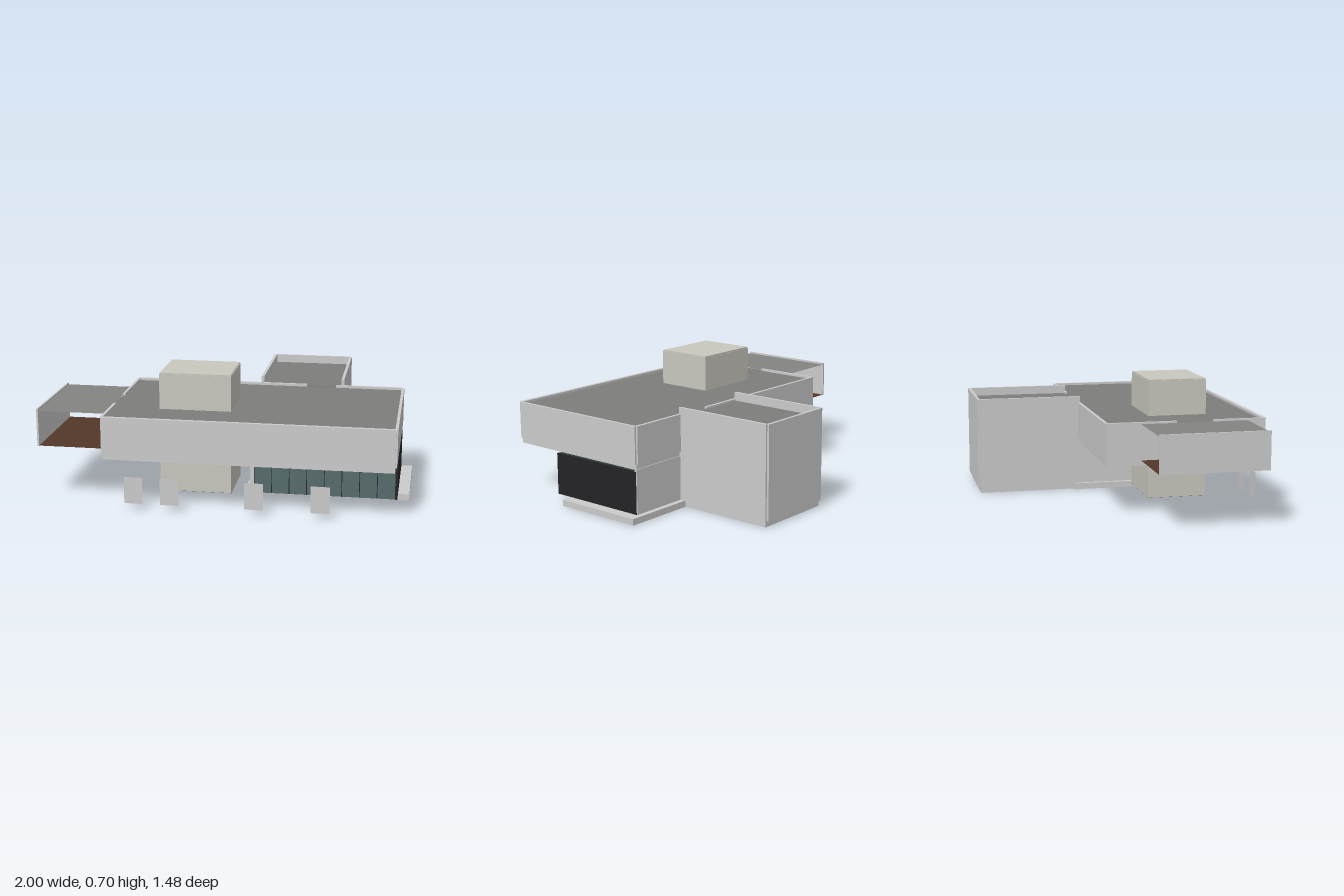
import * as THREE from 'three';

const mat = (color, side = THREE.FrontSide) => new THREE.MeshStandardMaterial({ color, side, flatShading: true });
const grey = mat(0xcccccc);
const roofGrey = mat(0x7d7d7c);
const stone = mat(0xc9c8be);
const black = mat(0x242427);
const glass = mat(0x566b6c);
const thinGrey = mat(0xcccccc, THREE.DoubleSide);

export function createModel() {
  const model = new THREE.Group();

  const add = (name, geometry, material) => {
    const mesh = new THREE.Mesh(geometry, material);
    mesh.name = name;
    model.add(mesh);
    return mesh;
  };
  // Box given by its limits on each axis
  const box = (name, [x0, x1], [y0, y1], [z0, z1], material = grey) => {
    const mesh = add(name, new THREE.BoxGeometry(x1 - x0, y1 - y0, z1 - z0), material);
    mesh.position.set((x0 + x1) / 2, (y0 + y1) / 2, (z0 + z1) / 2);
    return mesh;
  };
  // Flat horizontal sheet seen from both sides
  const sheet = (name, [x0, x1], y, [z0, z1], color) => {
    const mesh = add(name, new THREE.PlaneGeometry(x1 - x0, z1 - z0), mat(color, THREE.DoubleSide));
    mesh.rotation.x = -Math.PI / 2;
    mesh.position.set((x0 + x1) / 2, y, (z0 + z1) / 2);
    return mesh;
  };
  // Vertical prism from a floor plan of [x, z] points
  const prism = (name, plan, [y0, y1], material = grey) => {
    const shape = new THREE.Shape(plan.map(([x, z]) => new THREE.Vector2(x, -z)));
    const geometry = new THREE.ExtrudeGeometry(shape, { depth: y1 - y0, bevelEnabled: false });
    geometry.rotateX(-Math.PI / 2).translate(0, y0, 0);
    return add(name, geometry, material);
  };
  // Rectangle plan with small stepped corners
  const notched = ([x0, x1], [z0, z1], c = 0.01) => [
    [x0, z0 + c], [x0, z1 - c], [x0 + c, z1 - c], [x0 + c, z1],
    [x1 - c, z1], [x1 - c, z1 - c], [x1, z1 - c], [x1, z0 + c],
    [x1 - c, z0 + c], [x1 - c, z0], [x0 + c, z0], [x0 + c, z0 + c],
  ];

  // Ground platform, L-shaped
  prism('platform', [
    [0.1, -0.18], [0.1, 0.34], [1, 0.34], [1, -0.18],
    [0.59, -0.18], [0.59, -0.725], [0.125, -0.725], [0.125, -0.18],
  ], [0, 0.035]);

  // Upper storey with a recessed band below it
  box('lowerBand', [-0.61, 0.93], [0.275, 0.305], [-0.145, 0.725]);
  prism('upperStorey', notched([-0.62, 0.94], [-0.155, 0.735]), [0.305, 0.495]);
  sheet('mainRoof', [-0.605, 0.925], 0.497, [-0.14, 0.715], 0x7d7d7c);

  // Parapet with openings towards the rear wing and the side bay
  const parapetY = [0.495, 0.51];
  box('frontParapet', [-0.61, 0.93], parapetY, [0.715, 0.735]);
  box('leftParapet', [0.925, 0.94], parapetY, [-0.145, 0.725]);
  box('rightParapetFront', [-0.62, -0.605], parapetY, [0.44, 0.725]);
  box('rightParapetBack', [-0.62, -0.605], parapetY, [-0.145, 0.235]);
  box('backParapetRight', [-0.61, 0.38], parapetY, [-0.155, -0.138]);
  box('backParapetLeft', [0.55, 0.93], parapetY, [-0.155, -0.138]);
  box('backThreshold', [0.38, 0.55], [0.494, 0.498], [-0.16, -0.138], roofGrey);
  box('sideThreshold', [-0.621, -0.605], [0.494, 0.498], [0.235, 0.44], roofGrey);

  // Rear wing: walls rising above its roof
  box('wingRightWall', [0.115, 0.131], [0.035, 0.547], [-0.728, -0.145]);
  box('wingLeftWall', [0.58, 0.596], [0.035, 0.547], [-0.728, -0.145]);
  box('wingBackWall', [0.125, 0.586], [0.035, 0.547], [-0.74, -0.724]);
  box('wingRoof', [0.131, 0.58], [0.48, 0.5], [-0.724, -0.15], roofGrey);

  // Ground floor room below the upper storey
  box('roomBackWall', [0.596, 0.935], [0.035, 0.28], [-0.15, -0.135]);
  box('roomRightWall', [0.122, 0.137], [0.035, 0.275], [-0.145, 0.34]);
  box('roomFrontStub', [0.137, 0.16], [0.035, 0.275], [0.325, 0.34]);
  box('roomLeftWall', [0.925, 0.938], [0.035, 0.266], [-0.145, 0.44], black);
  box('roomFloorEdge', [0.16, 0.925], [0.034, 0.038], [0.3, 0.43], black);

  // Glazed front: eight panes with thin dark mullions
  const panes = 8, start = 0.16, step = 0.765 / panes;
  for (let i = 0; i < panes; i++) {
    const x = start + i * step;
    box('glassPane', [x, x + step], [0.036, 0.266], [0.428, 0.438], glass);
    box('mullion', [x - 0.002, x + 0.002], [0.036, 0.266], [0.427, 0.44], black);
  }

  // Stone core passing through both storeys
  box('core', [-0.355, 0.038], [0.036, 0.69], [0.146, 0.474], stone);
  box('coreCap', [-0.352, 0.035], [0.69, 0.697], [0.149, 0.471], stone);
  sheet('coreUnderside', [-0.355, 0.038], 0.035, [0.146, 0.474], 0x566056);

  // Side bay, open at front and back
  box('bayWall', [-1, -0.99], [0.303, 0.51], [0.04, 0.63]);
  sheet('bayRoof', [-0.99, -0.62], 0.5, [0.04, 0.63], 0x848483);
  sheet('bayFloor', [-0.99, -0.62], 0.305, [0.04, 0.63], 0x523828);

  // Free-standing thin panels along the front
  for (const x of [-0.45, -0.255, 0.197, 0.548]) {
    add('frontPanel', new THREE.PlaneGeometry(0.1, 0.147), thinGrey).position.set(x, 0.109, 0.722);
  }
  return model;
}
